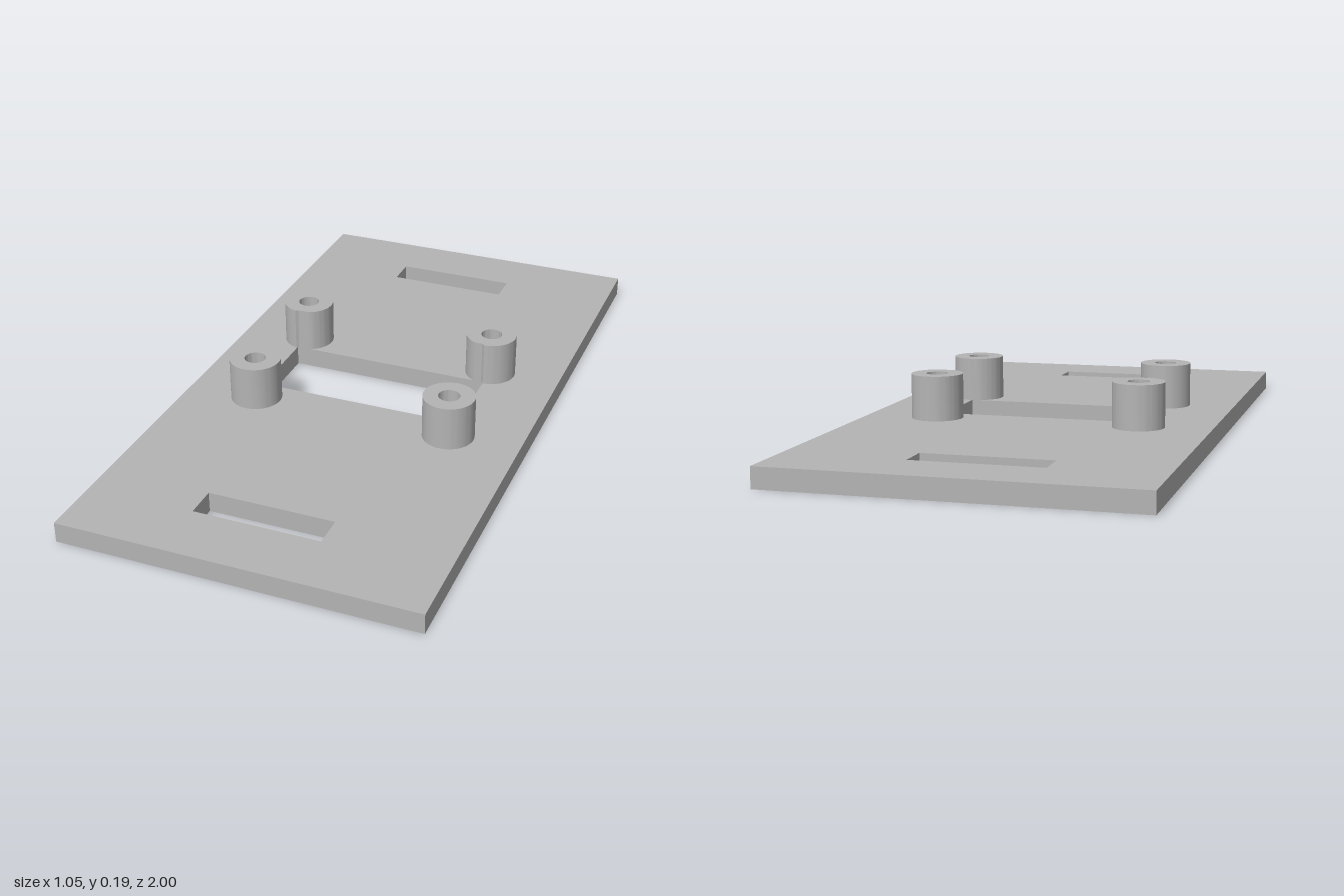
import * as THREE from 'three';
import { toCreasedNormals } from 'three/addons/utils/BufferGeometryUtils.js';

const PLATE_TOP = 0.06, POST_TOP = 0.193;
const WINDOW = { x0: -0.32, x1: 0.306, z0: -0.131, z1: 0.126 };

// Closed rectangle in plan; shape y is -z
function rect(Type, { x0, x1, z0, z1 }) {
  return new Type([[x0, -z1], [x1, -z1], [x1, -z0], [x0, -z0]].map(([x, y]) => new THREE.Vector2(x, y)));
}

// Extrude a plan shape upwards between two heights
function extrudeUp(shape, y0, y1) {
  const geo = new THREE.ExtrudeGeometry(shape, { depth: y1 - y0, bevelEnabled: false, curveSegments: 24 });
  geo.rotateX(-Math.PI / 2).translate(0, y0, 0);
  return toCreasedNormals(geo, 0.5);
}

// Round post outline, trimmed flat where it would overhang the window
function postShape(cx, cz) {
  const r = 0.077, n = 64, points = [];
  for (let i = 0; i < n; i++) {
    const a = (i / n) * Math.PI * 2;
    const x = cx + r * Math.cos(a);
    let z = cz - r * Math.sin(a);
    if (x > WINDOW.x0 && x < WINDOW.x1) {
      z = cz < 0 ? Math.min(z, WINDOW.z0) : Math.max(z, WINDOW.z1);
    }
    points.push(new THREE.Vector2(x, -z));
  }
  const shape = new THREE.Shape(points);
  shape.holes.push(new THREE.Path().absarc(cx, -cz, 0.032, 0, Math.PI * 2, true));
  return shape;
}

export function createModel() {
  const group = new THREE.Group();
  group.name = 'mountingPlate';
  const grey = new THREE.MeshStandardMaterial({ color: 0xb4b4b4 });
  grey.name = 'grey';

  const add = (name, geometry) => {
    const mesh = new THREE.Mesh(geometry, grey);
    mesh.name = name;
    group.add(mesh);
  };

  // Base plate with centre window and two strap slots
  const plate = rect(THREE.Shape, { x0: -0.523, x1: 0.523, z0: -1, z1: 1 });
  plate.holes.push(
    rect(THREE.Path, WINDOW),
    rect(THREE.Path, { x0: -0.206, x1: 0.169, z0: -0.822, z1: -0.728 }),
    rect(THREE.Path, { x0: -0.206, x1: 0.169, z0: 0.722, z1: 0.816 }),
  );
  add('basePlate', extrudeUp(plate, 0, PLATE_TOP));

  // Four hollow standoff posts around the window
  for (const [side, x] of [['Left', 0.306], ['Right', -0.308]]) {
    for (const [end, z] of [['front', 0.201], ['back', -0.201]]) {
      add(`${end}${side}Post`, extrudeUp(postShape(x, z), PLATE_TOP, POST_TOP));
    }
  }
  return group;
}
